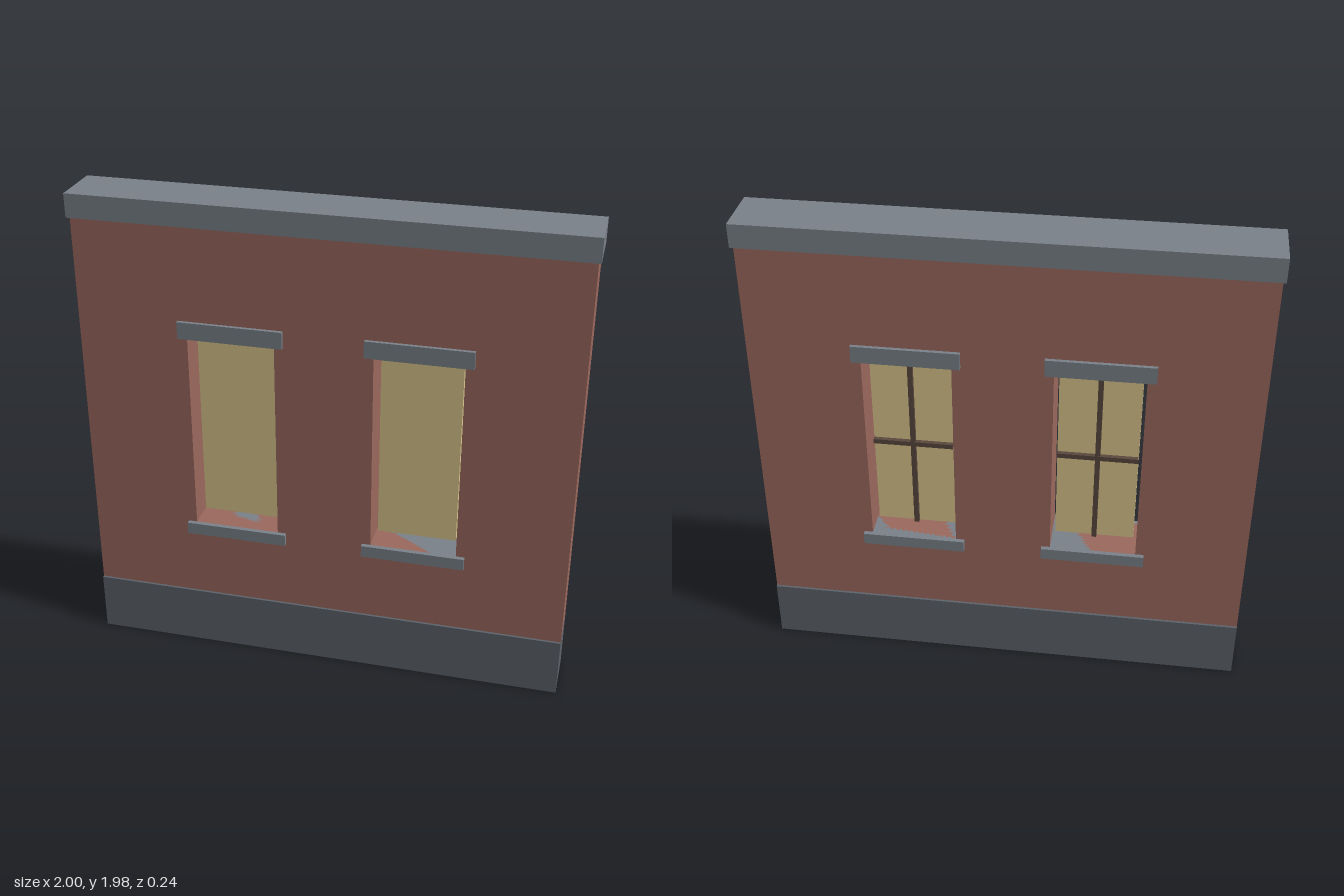
import * as THREE from 'three';

const material = (color) => new THREE.MeshStandardMaterial({ color });

export function createModel() {
  const group = new THREE.Group();
  group.name = 'wallSegment';

  const brick = material(0x9c695e);
  const stone = material(0x7a8289);
  const darkStone = material(0x5d636b);
  const glow = material(0xdac68d);
  const wood = material(0x5a483e);

  // Box given by its size and centre
  const box = (parent, name, mat, [w, h, d], [x, y, z]) => {
    const mesh = new THREE.Mesh(new THREE.BoxGeometry(w, h, d), mat);
    mesh.name = name;
    mesh.position.set(x, y, z);
    parent.add(mesh);
  };

  const rect = (path, x0, y0, x1, y1) =>
    path.moveTo(x0, y0).lineTo(x1, y0).lineTo(x1, y1).lineTo(x0, y1).closePath();

  const windowX = 0.37;
  const openW = 0.35, openBottom = 0.595, openTop = 1.43;
  const midY = (openBottom + openTop) / 2;

  // Brick wall with two window openings
  const outline = new THREE.Shape();
  rect(outline, -0.99, 0.25, 0.99, 1.885);
  for (const side of [-1, 1]) {
    const hole = new THREE.Path();
    const x = side * windowX;
    rect(hole, x - openW / 2, openBottom, x + openW / 2, openTop);
    outline.holes.push(hole);
  }
  const wallGeometry = new THREE.ExtrudeGeometry(outline, { depth: 0.198, bevelEnabled: false });
  wallGeometry.translate(0, 0, -0.099);
  const wall = new THREE.Mesh(wallGeometry, brick);
  wall.name = 'brickWall';
  group.add(wall);

  // Plinth and coping
  box(group, 'plinth', darkStone, [1.98, 0.25, 0.218], [0, 0.125, 0]);
  box(group, 'coping', stone, [2, 0.095, 0.228], [0, 1.9325, 0]);

  // Windows: sill, lintel, pane and glazing bars on the back of the pane
  for (const side of [-1, 1]) {
    const win = new THREE.Group();
    win.name = side > 0 ? 'leftWindow' : 'rightWindow';
    win.position.x = side * windowX;
    group.add(win);
    box(win, 'sill', stone, [0.42, 0.05, 0.236], [0, openBottom - 0.025, 0]);
    box(win, 'lintel', stone, [0.42, 0.07, 0.228], [0, openTop + 0.035, 0]);
    box(win, 'pane', glow, [0.322, 0.795, 0.04], [0, midY + 0.003, 0]);
    box(win, 'verticalBar', wood, [0.02, 0.795, 0.02], [0, midY + 0.003, -0.027]);
    box(win, 'horizontalBar', wood, [0.322, 0.02, 0.02], [0, midY + 0.003, -0.028]);
  }

  return group;
}
